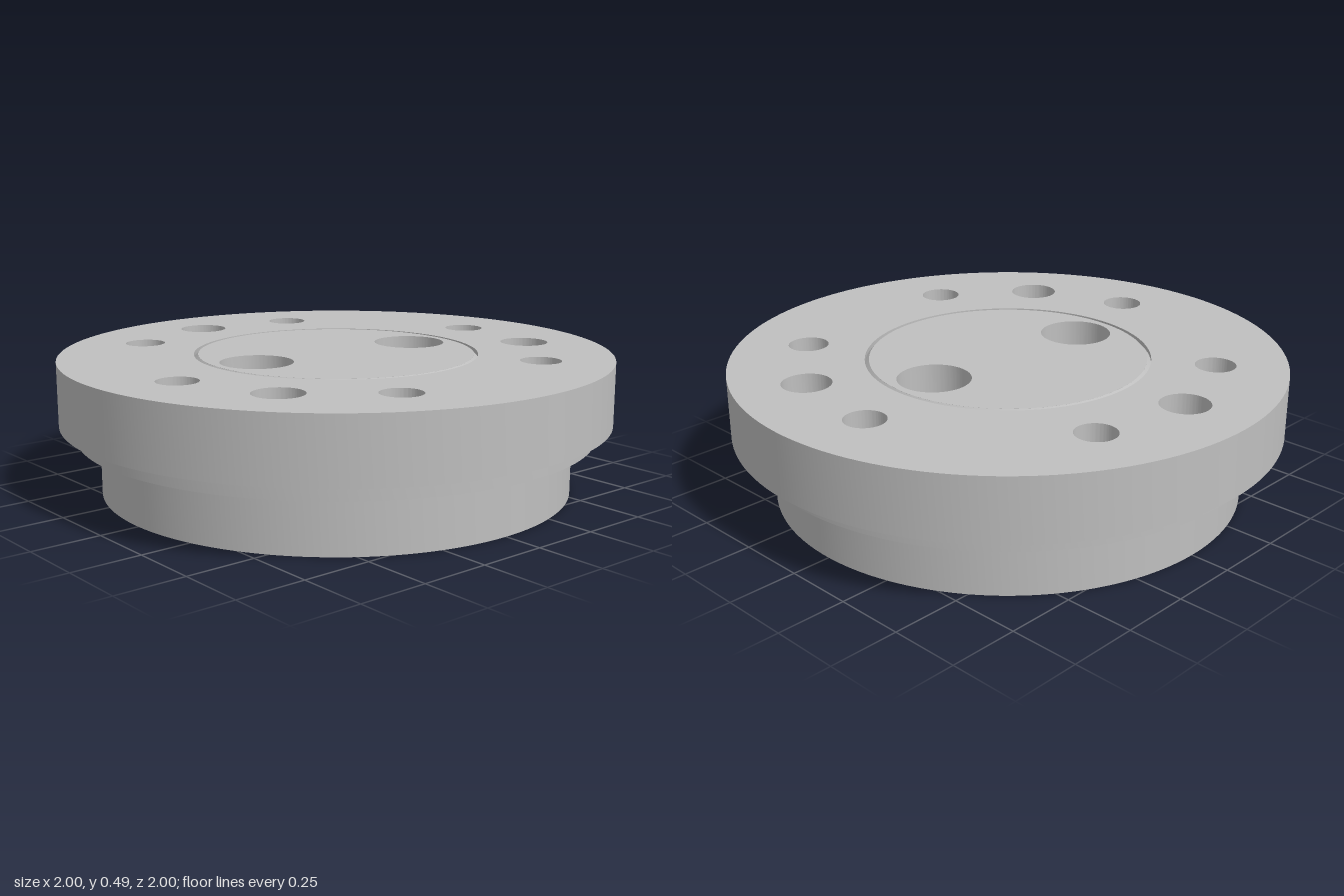
import * as THREE from 'three';
import { toCreasedNormals } from 'three/addons/utils/BufferGeometryUtils.js';

const steel = new THREE.MeshStandardMaterial({ color: 0xbfbfbf });
steel.name = 'steel grey';

// Ring of equal holes: count, pitch radius, first angle (degrees, from +x towards +z), hole radius
function boltCircle(count, pitch, startDeg, r) {
  return Array.from({ length: count }, (_, i) => {
    const a = THREE.MathUtils.degToRad(startDeg + (360 / count) * i);
    return { x: pitch * Math.cos(a), z: pitch * Math.sin(a), r };
  });
}

// Round plate between two heights, pierced by round holes
function plate(name, radius, y0, y1, holes) {
  const shape = new THREE.Shape().absarc(0, 0, radius, 0, Math.PI * 2, false);
  for (const { x, z, r } of holes) {
    shape.holes.push(new THREE.Path().absarc(x, -z, r, 0, Math.PI * 2, true));
  }
  const geometry = new THREE.ExtrudeGeometry(shape, { depth: y1 - y0, bevelEnabled: false, curveSegments: 72 });
  geometry.rotateX(-Math.PI / 2).translate(0, y0, 0);
  const mesh = new THREE.Mesh(toCreasedNormals(geometry, 0.5), steel);
  mesh.name = name;
  return mesh;
}

// Turned surface from a short profile of [radius, height]
function turned(name, profile, x = 0, z = 0) {
  const points = profile.map(([r, y]) => new THREE.Vector2(r, y));
  const mesh = new THREE.Mesh(new THREE.LatheGeometry(points, 72), steel);
  mesh.position.set(x, 0, z);
  mesh.name = name;
  return mesh;
}

export function createModel() {
  const model = new THREE.Group();
  model.name = 'flange';

  const drilled = boltCircle(6, 0.742, 24, 0.073);
  const flatHoles = boltCircle(3, 0.742, 54, 0.088);
  const ports = [{ x: 0.022, z: -0.343 }, { x: -0.022, z: 0.343 }];
  const portHoles = (r) => ports.map((p) => ({ ...p, r }));
  const centre = (r) => ({ x: 0, z: 0, r });

  // Stepped body
  model.add(
    plate('base', 0.857, 0, 0.204, [
      centre(0.37),
      ...boltCircle(6, 0.72, 35, 0.072),
      ...boltCircle(3, 0.684, 59, 0.142),
    ]),
    plate('collar', 0.94, 0.204, 0.26, [centre(0.285), ...portHoles(0.052)]),
    plate('topFlange', 1, 0.26, 0.49, [centre(0.515), ...drilled, ...flatHoles]),
  );

  // Drill points at the bottom of the small top holes
  for (const { x, z, r } of drilled) {
    model.add(turned('drillPoint', [[r, 0.306], [0.0001, 0.262]], x, z));
  }

  // Central plug with chamfered rim
  model.add(
    plate('plugLower', 0.515, 0.26, 0.33, [centre(0.1), ...portHoles(0.052)]),
    plate('plugUpper', 0.5, 0.33, 0.49, portHoles(0.13)),
    turned('plugChamfer', [[0.515, 0.474], [0.5, 0.49]]),
  );

  // Conical seats in the two ports
  for (const { x, z } of ports) {
    model.add(turned('portSeat', [[0.13, 0.37], [0.065, 0.331]], x, z));
  }
  return model;
}
